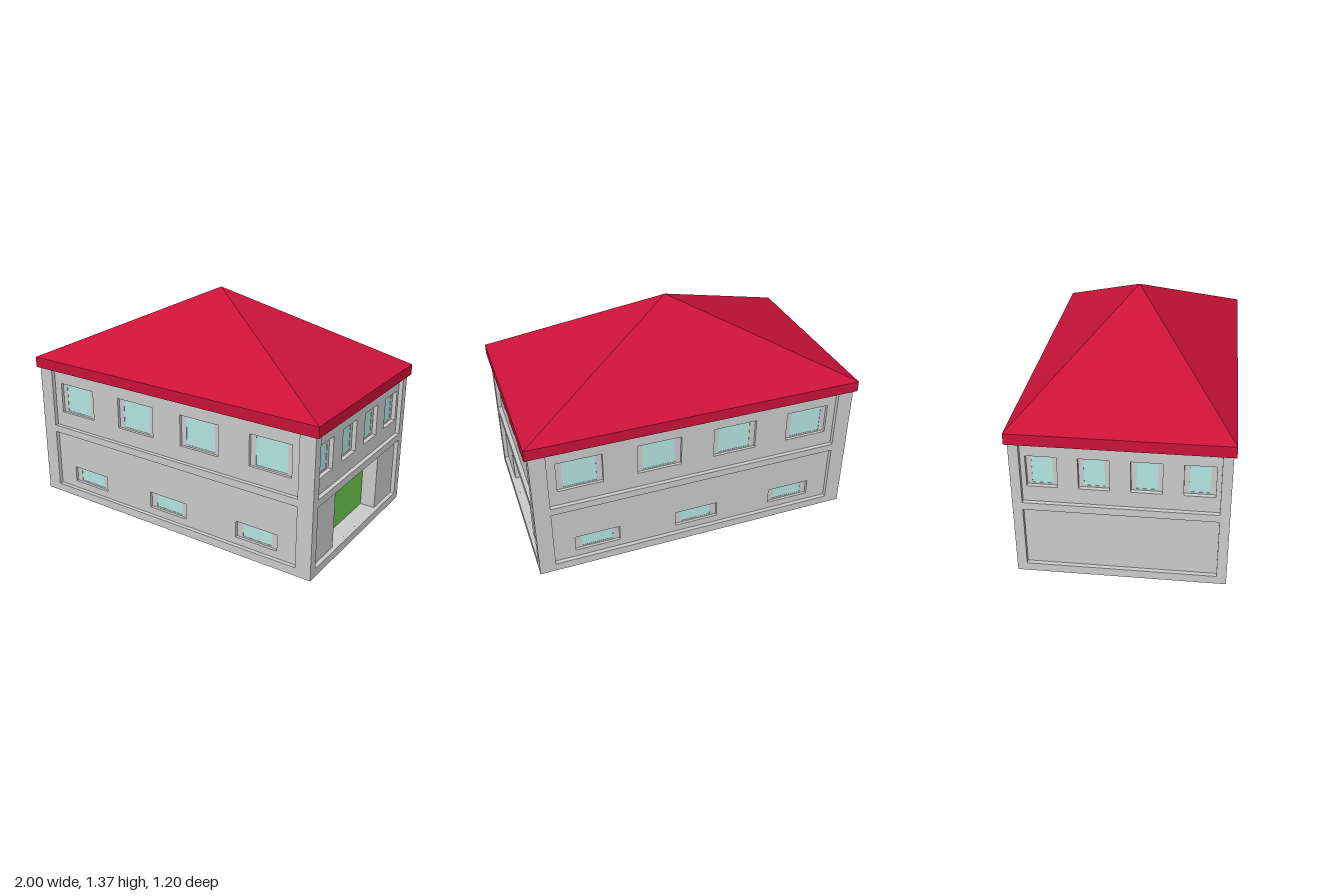
import * as THREE from 'three';

const mat = (color) => new THREE.MeshStandardMaterial({ color, flatShading: true });
const grey = mat(0xcccccc), red = mat(0xcc1239), glass = mat(0xb4e6e1), green = mat(0x6ec84f);

function box(parent, name, material, size, pos) {
  const mesh = new THREE.Mesh(new THREE.BoxGeometry(...size), material);
  mesh.position.set(...pos);
  mesh.name = name;
  parent.add(mesh);
  return mesh;
}

function rectPath(target, x0, x1, y0, y1) {
  target.moveTo(x0, y0);
  target.lineTo(x1, y0);
  target.lineTo(x1, y1);
  target.lineTo(x0, y1);
  target.closePath();
  return target;
}

// A flat slab in the xy plane, from zBack to zFront, with rectangular holes
function slab(parent, name, bounds, holes, zBack, zFront) {
  const shape = rectPath(new THREE.Shape(), ...bounds);
  holes.forEach((h) => shape.holes.push(rectPath(new THREE.Path(), ...h)));
  const geo = new THREE.ExtrudeGeometry(shape, { depth: zFront - zBack, bevelEnabled: false });
  const mesh = new THREE.Mesh(geo, grey);
  mesh.position.z = zBack;
  mesh.name = name;
  parent.add(mesh);
}

// One storey of a wall: a core holding the panes and a skin with wider openings
function storey(parent, name, w, y0, y1, z, win) {
  const bounds = [-w, w, y0, y1];
  const opening = (mx, my) => win.xs.map((x) =>
    [x - win.w / 2 - mx, x + win.w / 2 + mx, win.y0 - my, win.y1 + my]);
  slab(parent, name + 'Core', bounds, opening(0, 0), z.inner, z.mid);
  slab(parent, name + 'Skin', bounds, opening(win.mx, win.my), z.mid, z.front);
  win.xs.forEach((x) => box(parent, name + 'WindowPane', glass,
    [win.w, win.y1 - win.y0, 0.01], [x, (win.y0 + win.y1) / 2, z.mid - 0.007]));
}

// Horizontal beams below each storey
function beams(parent, w, inner, outer) {
  [[0, 0.05], [0.42, 0.465]].forEach(([a, b]) => box(parent, 'beam', grey,
    [2 * w, b - a, outer - inner], [0, (a + b) / 2, (inner + outer) / 2]));
}

function longWall() {
  const wall = new THREE.Group();
  const z = { inner: 0.53, mid: 0.543, front: 0.56 };
  beams(wall, 0.885, 0.53, 0.585);
  storey(wall, 'upper', 0.885, 0.465, 0.84, z,
    { xs: [-0.7, -0.233, 0.233, 0.7], w: 0.195, y0: 0.57, y1: 0.74, mx: 0.035, my: 0.01 });
  storey(wall, 'lower', 0.885, 0.05, 0.42, z,
    { xs: [-0.62, 0, 0.62], w: 0.19, y0: 0.105, y1: 0.185, mx: 0.04, my: 0.01 });
  return wall;
}

function endWall(hasGarage) {
  const wall = new THREE.Group();
  const z = { inner: 0.885, mid: 0.93, front: 0.955 };
  beams(wall, 0.53, 0.885, 0.98);
  storey(wall, 'upper', 0.53, 0.465, 0.84, z,
    { xs: [-0.42, -0.14, 0.14, 0.42], w: 0.112, y0: 0.57, y1: 0.74, mx: 0.028, my: 0.01 });
  if (!hasGarage) {
    slab(wall, 'lowerPanel', [-0.53, 0.53, 0.05, 0.42], [], z.inner, z.front);
    return wall;
  }
  // Garage opening with a deep reveal and the door at its back
  slab(wall, 'garagePanel', [-0.53, 0.53, 0.05, 0.42], [[-0.28, 0.28, 0.0501, 0.395]], z.inner, z.front);
  slab(wall, 'garageReveal', [-0.3, 0.3, 0.03, 0.415], [[-0.28, 0.28, 0.05, 0.395]], 0.85, 0.885);
  box(wall, 'garageDoor', green, [0.56, 0.345, 0.012], [0, 0.2225, 0.858]);
  return wall;
}

export function createModel() {
  const house = new THREE.Group();
  house.name = 'house';

  // Walls on four sides
  const walls = [
    ['frontWall', longWall(), 0], ['backWall', longWall(), Math.PI],
    ['garageWall', endWall(true), Math.PI / 2], ['plainEndWall', endWall(false), -Math.PI / 2],
  ];
  walls.forEach(([name, wall, turn]) => {
    wall.name = name;
    wall.rotation.y = turn;
    house.add(wall);
  });

  // Corner posts
  for (const sx of [-1, 1]) for (const sz of [-1, 1]) {
    box(house, 'cornerPost', grey, [0.095, 0.84, 0.055], [sx * 0.9325, 0.42, sz * 0.5575]);
  }

  // Eaves and pyramid roof
  const roof = new THREE.Group();
  roof.name = 'roof';
  box(roof, 'eaves', red, [2, 0.065, 1.2], [0, 0.8725, 0]);
  const pyramid = new THREE.ConeGeometry(Math.SQRT2, 0.465, 4, 1, true);
  pyramid.rotateY(Math.PI / 4).scale(1, 1, 0.6).translate(0, 0.905 + 0.2325, 0);
  const slopes = new THREE.Mesh(pyramid, red);
  slopes.name = 'roofSlopes';
  roof.add(slopes);
  house.add(roof);
  return house;
}
